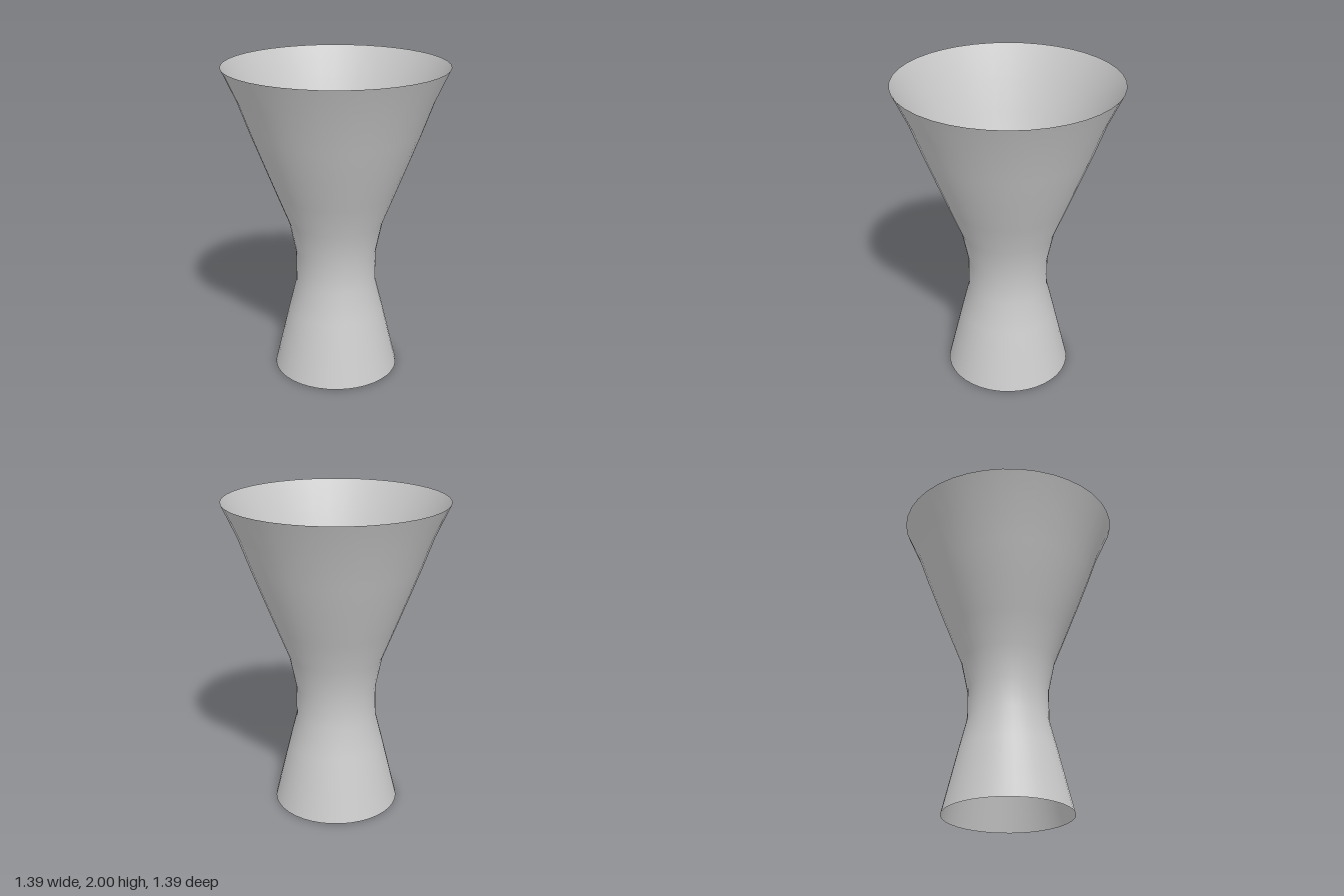
import * as THREE from 'three';

export function createModel() {
  const group = new THREE.Group();
  group.name = 'flaredTube';

  // radii of evenly spaced rings, from the foot to the rim
  const radii = [0.403, 0.355, 0.307, 0.257, 0.257, 0.298, 0.377, 0.455, 0.532, 0.604, 0.695];
  const profile = radii.map((r, i) => new THREE.Vector2(r, i * 0.2));

  // thin wall, open at both ends
  const wall = new THREE.Mesh(
    new THREE.LatheGeometry(profile, 40),
    new THREE.MeshStandardMaterial({ color: 0xcccccc, side: THREE.DoubleSide })
  );
  wall.name = 'wall';
  group.add(wall);
  return group;
}
